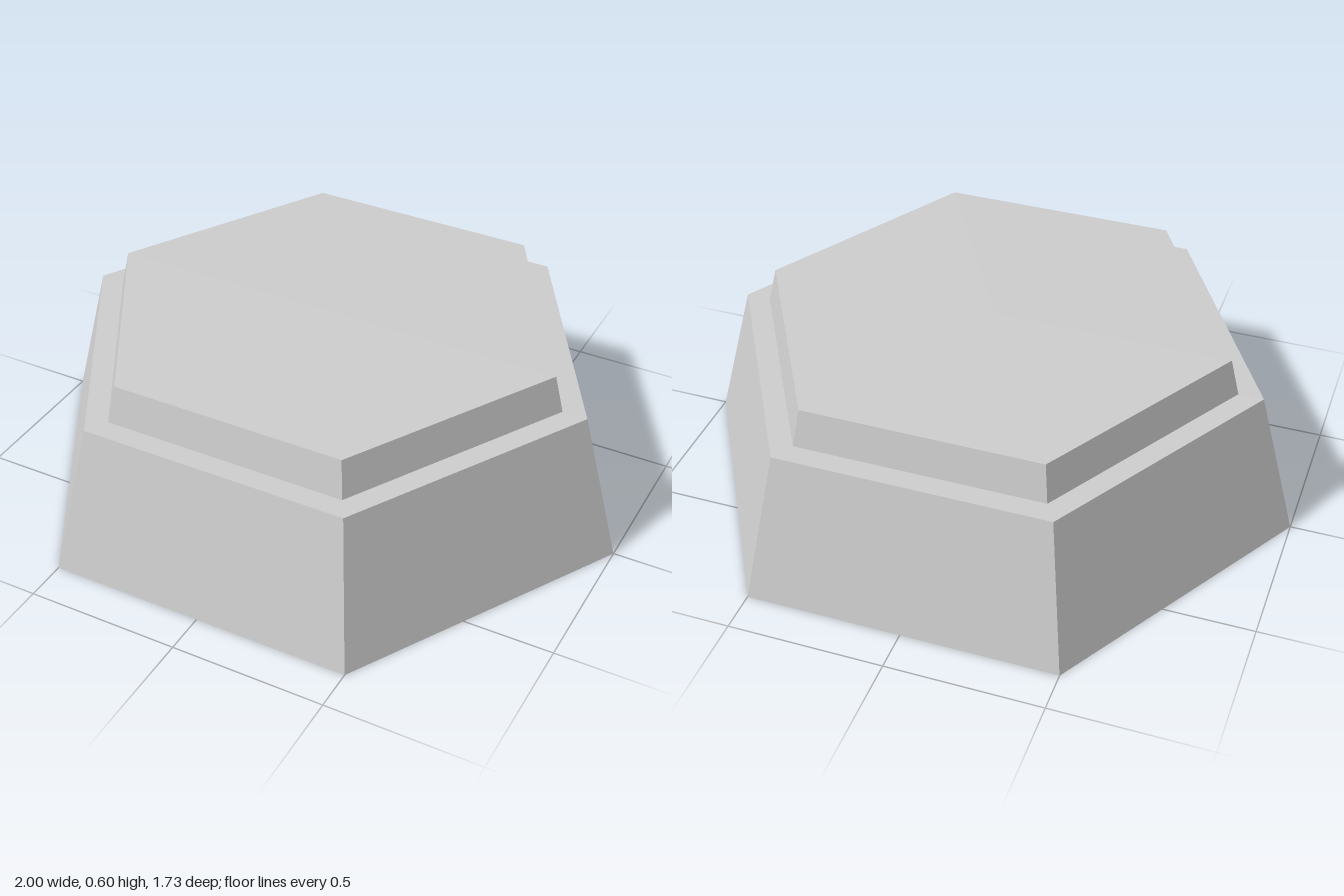
import * as THREE from 'three';

export function createModel() {
  const model = new THREE.Group();
  model.name = 'hexagonalPedestal';
  const stone = new THREE.MeshStandardMaterial({ color: 0xcccccc, flatShading: true });
  stone.name = 'light grey';

  // Tapered six-sided block with corners on the x axis
  const addTier = (name, bottomRadius, topRadius, bottom, top) => {
    const geometry = new THREE.CylinderGeometry(
      topRadius, bottomRadius, top - bottom, 6, 1, false, Math.PI / 2);
    const mesh = new THREE.Mesh(geometry, stone);
    mesh.name = name;
    mesh.position.y = (bottom + top) / 2;
    model.add(mesh);
  };

  addTier('base', 1, 0.87, 0, 0.48);
  addTier('raisedTop', 0.79, 0.76, 0.48, 0.6);

  return model;
}
